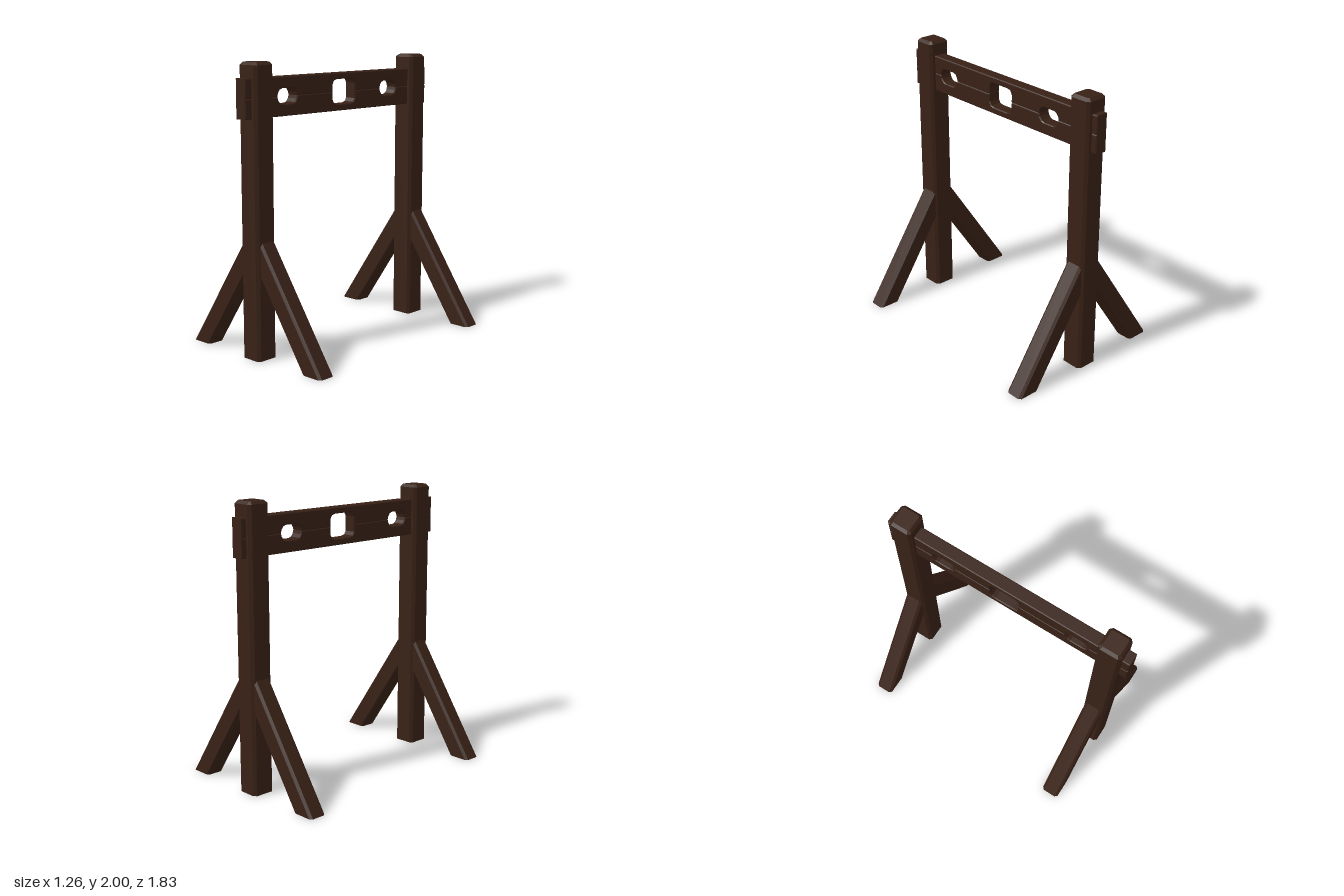
import * as THREE from 'three';

const wood = new THREE.MeshStandardMaterial({ color: 0x382116, flatShading: true, side: THREE.DoubleSide });

// Rectangle with cut corners, as a ring of [x, z] points
function ring(w, d, c) {
  const a = w / 2, b = d / 2;
  return [[a, b - c], [a - c, b], [c - a, b], [-a, b - c], [-a, c - b], [c - a, -b], [a - c, -b], [a, c - b]];
}

// Timber lofted through horizontal sections { y, w, d, c, x }
function timber(sections, closedBottom) {
  const pos = [];
  const rings = sections.map(s => ring(s.w, s.d, s.c).map(([x, z]) => [x + (s.x || 0), s.y, z]));
  const tri = (a, b, c) => pos.push(...a, ...b, ...c);
  for (let i = 0; i < rings.length - 1; i++) {
    for (let k = 0; k < 8; k++) {
      const n = (k + 1) % 8, lo = rings[i], hi = rings[i + 1];
      tri(lo[k], hi[k], hi[n]);
      tri(lo[k], hi[n], lo[n]);
    }
  }
  const top = rings[rings.length - 1], bottom = rings[0];
  for (let k = 1; k < 7; k++) {
    tri(top[0], top[k + 1], top[k]);
    if (closedBottom) tri(bottom[0], bottom[k], bottom[k + 1]);
  }
  // the ring runs clockwise seen from above, so swap corners to face outward
  for (let i = 0; i < pos.length; i += 9) {
    for (let j = 0; j < 3; j++) [pos[i + 3 + j], pos[i + 6 + j]] = [pos[i + 6 + j], pos[i + 3 + j]];
  }
  const g = new THREE.BufferGeometry();
  g.setAttribute('position', new THREE.Float32BufferAttribute(pos, 3));
  g.computeVertexNormals();
  return g;
}

// Half outlines of the openings: [offset along the plank, height from the split]
const wristHole = [[0.09, 0], [0.084, 0.022], [0.068, 0.045], [0.045, 0.053]];
const neckHole = [[0.111, 0], [0.111, 0.055], [0.097, 0.08], [0.068, 0.088]];

// One plank; dir = 1 lies above the split, -1 below
function plank(dir, height) {
  const bevel = 0.006, thick = 0.092, half = 0.917;
  const pts = [[-half, 0]];
  for (const [z, hole] of [[-0.485, wristHole], [-0.013, neckHole], [0.537, wristHole]]) {
    for (const [u, v] of hole) pts.push([z - u, v]);
    for (const [u, v] of [...hole].reverse()) pts.push([z + u, v]);
  }
  pts.push([half, 0], [half, height], [-half, height]);
  const shape = new THREE.Shape(pts.map(([u, v]) => new THREE.Vector2(u, v * dir)));
  const g = new THREE.ExtrudeGeometry(shape, {
    depth: thick - 2 * bevel, bevelEnabled: true, bevelThickness: bevel,
    bevelSize: bevel, bevelOffset: -bevel, bevelSegments: 1,
  });
  g.translate(0, 0, bevel - thick / 2);
  g.rotateY(-Math.PI / 2);
  return g;
}

export function createModel() {
  const group = new THREE.Group();
  const add = (name, geometry, x, y, z) => {
    const mesh = new THREE.Mesh(geometry, wood);
    mesh.name = name;
    mesh.position.set(x, y, z);
    group.add(mesh);
  };

  // Upright posts with chamfered tops, hollow underneath
  const post = timber([
    { y: 0, w: 0.168, d: 0.168, c: 0.02 },
    { y: 1.98, w: 0.168, d: 0.168, c: 0.02 },
    { y: 2, w: 0.128, d: 0.128, c: 0.01 },
  ], false);

  for (const [end, postZ, braceZ] of [['front', 0.777, 0.77], ['back', -0.79, -0.793]]) {
    add(end + 'Post', post, -0.004, 0, postZ);
    // Slanted braces, cut level at the ground and ending inside the post
    for (const side of [1, -1]) {
      const brace = timber([
        { y: 0, w: 0.17, d: 0.132, c: 0.018, x: side * 0.547 },
        { y: 0.81, w: 0.17, d: 0.132, c: 0.018, x: 0 },
      ], true);
      add(end + (side > 0 ? 'Left' : 'Right') + 'Brace', brace, -0.004, 0, braceZ);
    }
  }

  // Split board with the neck and wrist openings
  add('upperPlank', plank(1, 0.131), -0.004, 1.765, 0);
  add('lowerPlank', plank(-1, 0.133), -0.004, 1.765, 0);
  return group;
}
